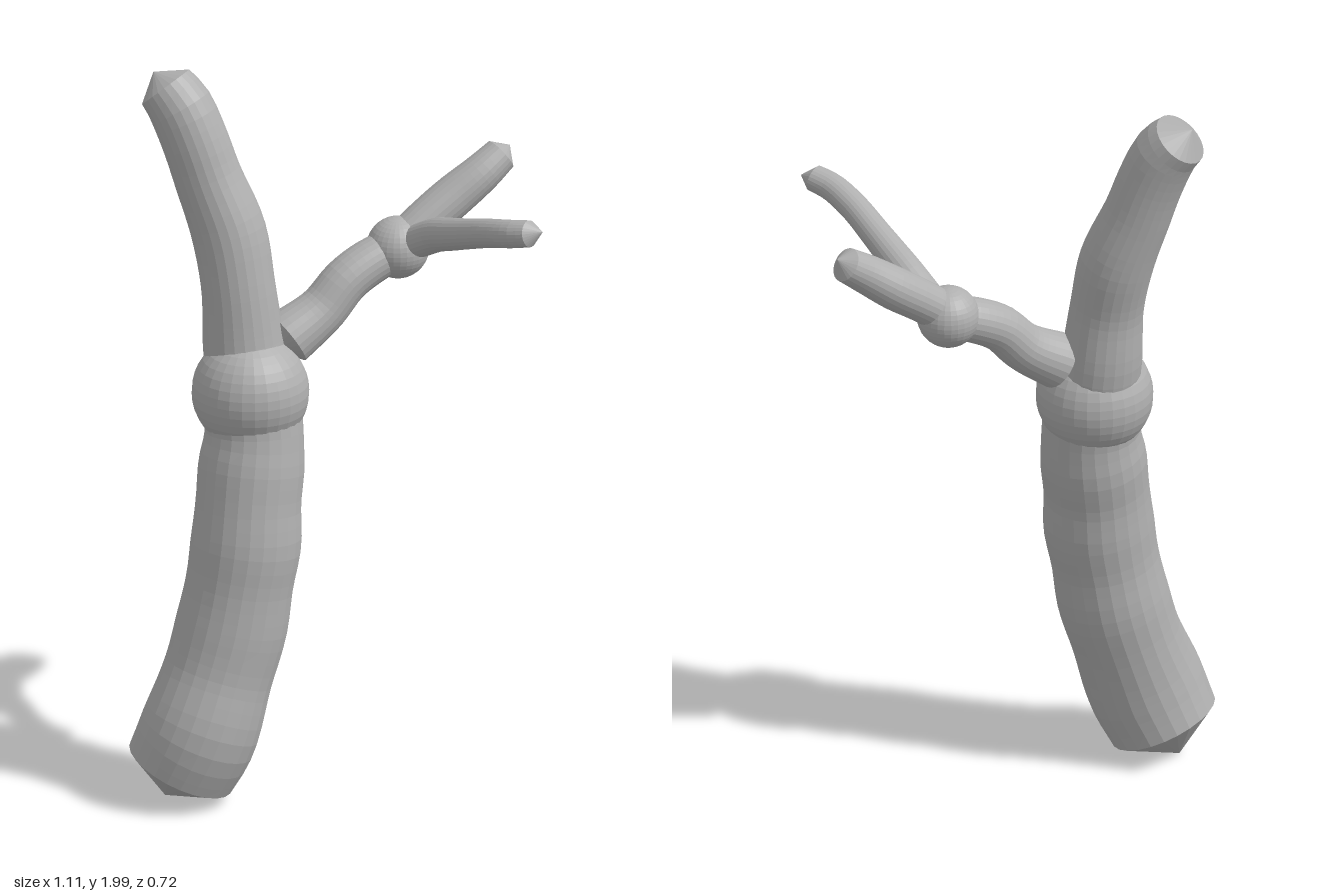
import * as THREE from 'three';

const bark = new THREE.MeshStandardMaterial({ color: 0xb0b0b0, flatShading: true });
bark.name = 'grey bark';

// Tapered limb: points are [x, y, z, radius], closed by a shallow cone at each end.
function limb(name, points, startTip, endTip, steps, sides = 24) {
  const curve = new THREE.CatmullRomCurve3(points.map(p => new THREE.Vector3(p[0], p[1], p[2])));
  // radius follows its own spline over the same parameter
  const radii = new THREE.CatmullRomCurve3(points.map(p => new THREE.Vector3(p[3], 0, 0)), false, 'catmullrom');
  const frames = curve.computeFrenetFrames(steps, false);
  const pos = [], index = [];
  for (let i = 0; i <= steps; i++) {
    const u = i / steps;
    const c = curve.getPointAt(u);
    const r = radii.getPoint(curve.getUtoTmapping(u)).x;
    for (let j = 0; j < sides; j++) {
      const a = (j / sides) * Math.PI * 2;
      const v = c.clone()
        .addScaledVector(frames.normals[i], Math.cos(a) * r)
        .addScaledVector(frames.binormals[i], Math.sin(a) * r);
      pos.push(v.x, v.y, v.z);
    }
  }
  const first = pos.length / 3, last = first + 1, top = steps * sides;
  pos.push(...startTip, ...endTip);
  for (let j = 0; j < sides; j++) {
    const k = (j + 1) % sides;
    for (let i = 0; i < steps; i++) {
      const a = i * sides + j, b = i * sides + k;
      index.push(a, b, b + sides, a, b + sides, a + sides);
    }
    index.push(first, k, j, last, top + j, top + k);
  }
  const indexed = new THREE.BufferGeometry();
  indexed.setAttribute('position', new THREE.Float32BufferAttribute(pos, 3));
  indexed.setIndex(index);
  const geometry = indexed.toNonIndexed();
  geometry.computeVertexNormals();
  const mesh = new THREE.Mesh(geometry, bark);
  mesh.name = name;
  return mesh;
}

// Round knot where limbs meet
function knot(name, x, y, z, r) {
  const mesh = new THREE.Mesh(new THREE.SphereGeometry(r, 28, 20), bark);
  mesh.position.set(x, y, z);
  mesh.name = name;
  return mesh;
}

export function createModel() {
  const group = new THREE.Group();
  group.name = 'forkedBranch';

  // Thick lower trunk
  group.add(limb('trunk', [
    [-0.42, 0.09, -0.065, 0.15], [-0.375, 0.2, -0.043, 0.159], [-0.32, 0.35, -0.053, 0.148],
    [-0.28, 0.48, -0.06, 0.15], [-0.257, 0.6, -0.061, 0.144], [-0.238, 0.71, -0.065, 0.148],
    [-0.228, 0.82, -0.075, 0.141], [-0.215, 0.92, -0.089, 0.142],
    [-0.205, 1.01, -0.098, 0.132], [-0.21, 1.12, -0.111, 0.132],
  ], [-0.453, 0.002, -0.098], [-0.21, 1.16, -0.115], 30));
  group.add(knot('trunkKnot', -0.211, 1.12, -0.111, 0.157));

  // Upper limb continuing the trunk
  group.add(limb('upperLimb', [
    [-0.211, 1.12, -0.125, 0.11], [-0.218, 1.24, -0.148, 0.109], [-0.229, 1.4, -0.161, 0.099],
    [-0.247, 1.55, -0.19, 0.1], [-0.295, 1.7, -0.222, 0.091], [-0.325, 1.8, -0.241, 0.089],
    [-0.358, 1.89, -0.266, 0.087], [-0.39, 1.94, -0.295, 0.078],
  ], [-0.211, 1.08, -0.12], [-0.416, 1.977, -0.32], 26));

  // Side limb and its knot
  group.add(limb('sideLimb', [
    [-0.1, 1.25, -0.136, 0.077], [0, 1.313, -0.15, 0.066], [0.07, 1.385, -0.16, 0.063],
    [0.14, 1.425, -0.172, 0.062], [0.222, 1.455, -0.182, 0.058],
  ], [-0.14, 1.222, -0.13], [0.25, 1.47, -0.185], 18));
  group.add(knot('sideKnot', 0.222, 1.455, -0.182, 0.084));

  // Two twigs growing from the side knot
  group.add(limb('outerTwig', [
    [0.23, 1.465, -0.178, 0.056], [0.3, 1.518, -0.189, 0.057], [0.38, 1.573, -0.199, 0.058],
    [0.46, 1.63, -0.203, 0.053], [0.52, 1.673, -0.216, 0.047],
  ], [0.2, 1.445, -0.175], [0.546, 1.695, -0.22], 18));
  group.add(limb('frontTwig', [
    [0.265, 1.492, -0.12, 0.046], [0.292, 1.53, -0.05, 0.046], [0.311, 1.555, 0.02, 0.044],
    [0.332, 1.583, 0.1, 0.041], [0.36, 1.618, 0.2, 0.039], [0.395, 1.643, 0.285, 0.038],
    [0.43, 1.655, 0.327, 0.036],
  ], [0.255, 1.482, -0.145], [0.462, 1.662, 0.342], 22));

  return group;
}
